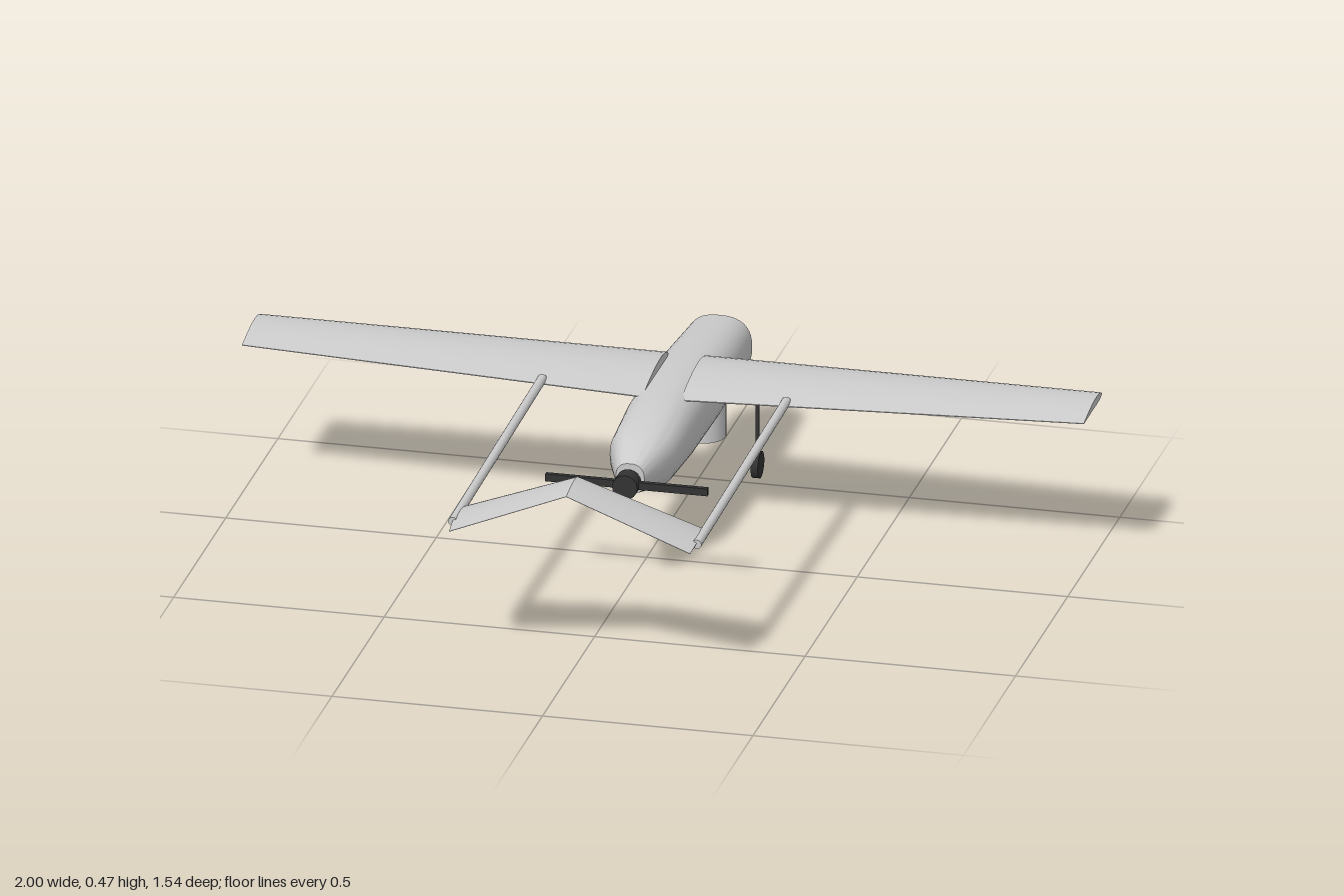
import * as THREE from 'three';
import { toCreasedNormals } from 'three/addons/utils/BufferGeometryUtils.js';

const grey = new THREE.MeshStandardMaterial({ color: 0xcccccc });
const dark = new THREE.MeshStandardMaterial({ color: 0x333333 });

// Skin a row of equal-length rings, close both ends, face outward
function loft(rings, crease = 0.45) {
  const n = rings[0].length;
  const pts = rings.flat();
  const tris = [];
  for (let r = 0; r < rings.length - 1; r++) {
    for (let i = 0; i < n; i++) {
      const a = r * n + i, b = r * n + (i + 1) % n;
      tris.push([a, b, a + n], [b, b + n, a + n]);
    }
  }
  const last = (rings.length - 1) * n;
  for (let i = 1; i < n - 1; i++) {
    tris.push([0, i + 1, i], [last, last + i, last + i + 1]);
  }
  let volume = 0;
  for (const [a, b, c] of tris) volume += pts[a].dot(pts[b].clone().cross(pts[c]));
  if (volume < 0) tris.forEach((t) => t.reverse());
  const g = new THREE.BufferGeometry().setFromPoints(pts);
  g.setIndex(tris.flat());
  return toCreasedNormals(g, crease);
}

// Rounded-square fuselage section
function bodyRing([z, bottom, top, halfWidth]) {
  const ring = [];
  const soft = (v) => Math.sign(v) * Math.abs(v) ** 0.8;
  for (let i = 0; i < 40; i++) {
    const a = (i / 40) * Math.PI * 2;
    ring.push(new THREE.Vector3(
      halfWidth * soft(Math.cos(a)),
      (top + bottom) / 2 + ((top - bottom) / 2) * soft(Math.sin(a)),
      z));
  }
  return ring;
}

// Aerofoil section; profile pairs are chord fraction and height fraction
const profile = [[0, 0.4], [0.04, 0.64], [0.12, 0.84], [0.28, 1], [0.5, 0.9], [0.75, 0.55],
  [1, 0.08], [1, 0], [0.75, 0.02], [0.5, 0.02], [0.28, 0], [0.12, 0.06], [0.04, 0.2]];
function foilRing(x, y, front, back, thick, tilt = 0) {
  return profile.map(([t, h]) => new THREE.Vector3(
    x + tilt * h * thick, y + h * thick, front + (back - front) * t));
}

export function createModel() {
  const model = new THREE.Group();
  function add(name, geometry, material = grey, x = 0, y = 0, z = 0) {
    const mesh = new THREE.Mesh(geometry, material);
    mesh.name = name;
    mesh.position.set(x, y, z);
    model.add(mesh);
    return mesh;
  }

  // Fuselage: z, bottom, top, half width
  add('fuselage', loft([
    [-0.772, 0.212, 0.264, 0.027],
    [-0.70, 0.182, 0.327, 0.077],
    [-0.55, 0.178, 0.339, 0.083],
    [-0.39, 0.177, 0.352, 0.088],
    [-0.14, 0.18, 0.354, 0.086],
    [0.04, 0.19, 0.338, 0.078],
    [0.10, 0.206, 0.318, 0.056],
    [0.16, 0.222, 0.296, 0.034],
  ].map(bodyRing)));

  for (const s of [1, -1]) {
    const side = s > 0 ? 'left' : 'right';

    // Tapered wing with slight dihedral
    add(side + 'Wing', loft([
      foilRing(s * 0.045, 0.338, -0.39, -0.14, 0.03),
      foilRing(s * 1, 0.368, -0.33, -0.155, 0.02),
    ]));

    // Tail boom
    const start = new THREE.Vector3(s * 0.29, 0.35, -0.17);
    const end = new THREE.Vector3(s * 0.29, 0.333, 0.69);
    add(side + 'TailBoom', new THREE.TubeGeometry(new THREE.LineCurve3(start, end), 1, 0.011, 16));
    const cap = add(side + 'BoomEnd', new THREE.CircleGeometry(0.011, 16));
    cap.position.copy(end);

    // Half of the inverted V tail
    add(side + 'TailFin', loft([
      foilRing(s * 0.286, 0.328, 0.597, 0.74, 0.012, s * 0.45),
      foilRing(0, 0.455, 0.658, 0.772, 0.012),
    ]));

    // Front wheel and strut
    add(side + 'Strut', new THREE.CylinderGeometry(0.005, 0.005, 0.147, 10), dark, s * 0.13, 0.108, -0.537);
    const wheel = add(side + 'Wheel', new THREE.CylinderGeometry(0.032, 0.032, 0.017, 24), dark, s * 0.13, 0.032, -0.537);
    wheel.rotation.z = Math.PI / 2;

    // Camera lens
    const lens = add(side + 'Lens', new THREE.CylinderGeometry(0.012, 0.012, 0.02, 16), dark, s * 0.02, 0.13, -0.588);
    lens.rotation.x = Math.PI / 2;
  }

  // Sensor turret below the nose
  add('sensorTurret', new THREE.CylinderGeometry(0.055, 0.055, 0.1, 32), grey, 0, 0.143, -0.537);

  // Pusher propeller
  const hub = add('propellerHub', new THREE.CylinderGeometry(0.03, 0.03, 0.04, 16), dark, 0, 0.257, 0.192);
  hub.rotation.x = Math.PI / 2;
  add('propellerBlades', new THREE.BoxGeometry(0.385, 0.018, 0.012), dark, 0, 0.257, 0.19);

  return model;
}
